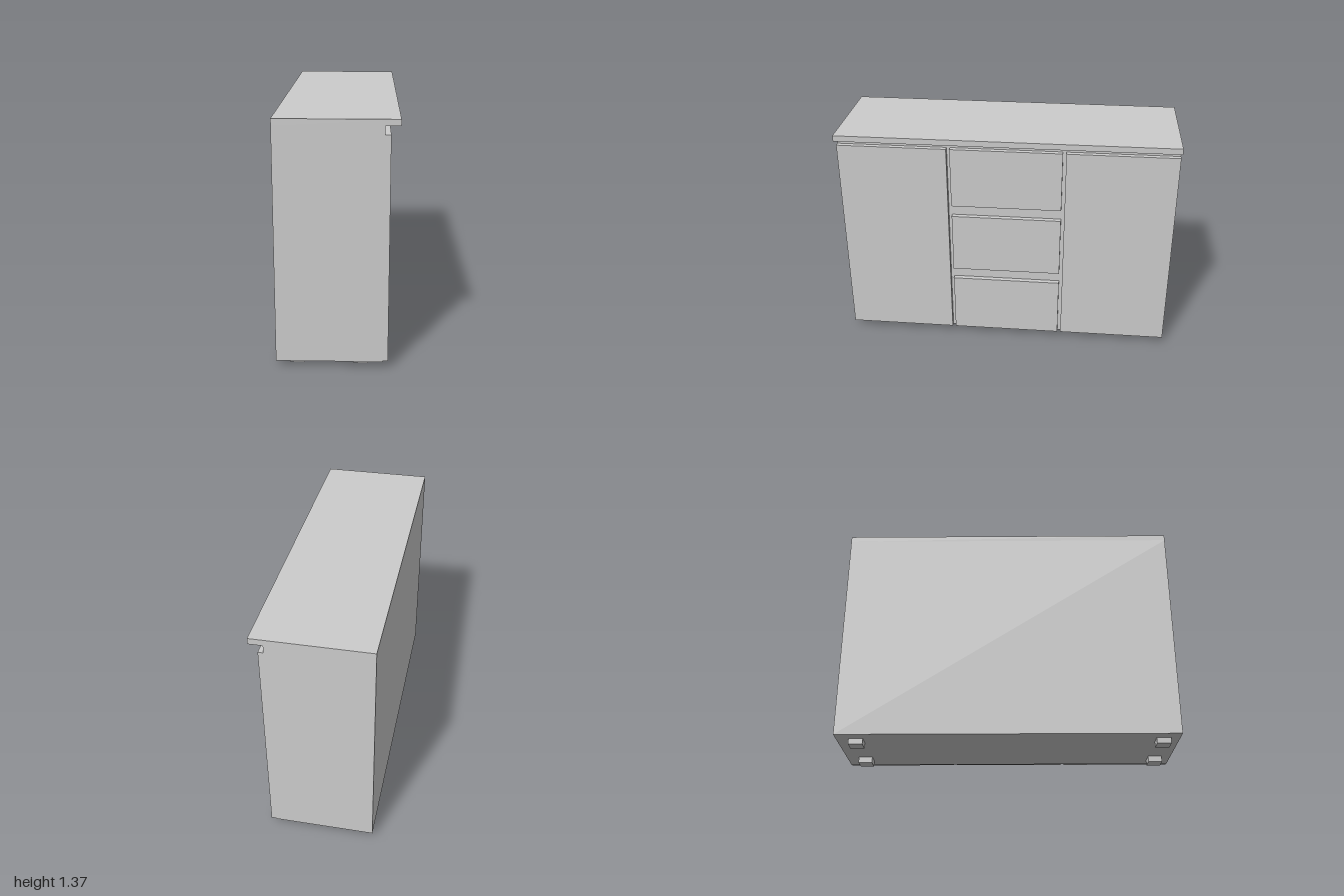
import * as THREE from 'three';

const material = new THREE.MeshStandardMaterial({ color: 0xcccccc, flatShading: true });

// Box given by its minimum and maximum on each axis
function box(name, [x0, x1], [y0, y1], [z0, z1]) {
  const mesh = new THREE.Mesh(new THREE.BoxGeometry(x1 - x0, y1 - y0, z1 - z0), material);
  mesh.position.set((x0 + x1) / 2, (y0 + y1) / 2, (z0 + z1) / 2);
  mesh.name = name;
  return mesh;
}

export function createModel() {
  const group = new THREE.Group();
  group.name = 'sideboard';

  // Carcass and the worktop that overhangs the doors on the +x side
  group.add(box('carcass', [-0.33, 0.25], [0.035, 1.335], [-1, 1]));
  group.add(box('worktop', [-0.33, 0.33], [1.335, 1.37], [-1, 1]));

  // Doors at both ends, leaving a finger gap under the worktop
  const front = [0.25, 0.28];
  group.add(box('leftDoor', front, [0.04, 1.29], [-1, -0.35]));
  group.add(box('rightDoor', front, [0.04, 1.29], [0.35, 1]));

  // Three drawer fronts with grip gaps between them
  for (let i = 0; i < 3; i++) {
    const y = 0.04 + i * 0.44;
    group.add(box('drawerFront', front, [y, y + 0.37], [-0.33, 0.33]));
  }

  // Four short square feet
  for (const x of [-0.26, 0.09]) {
    for (const z of [-0.925, 0.862]) {
      group.add(box('foot', [x, x + 0.083], [0, 0.035], [z, z + 0.083]));
    }
  }
  return group;
}
